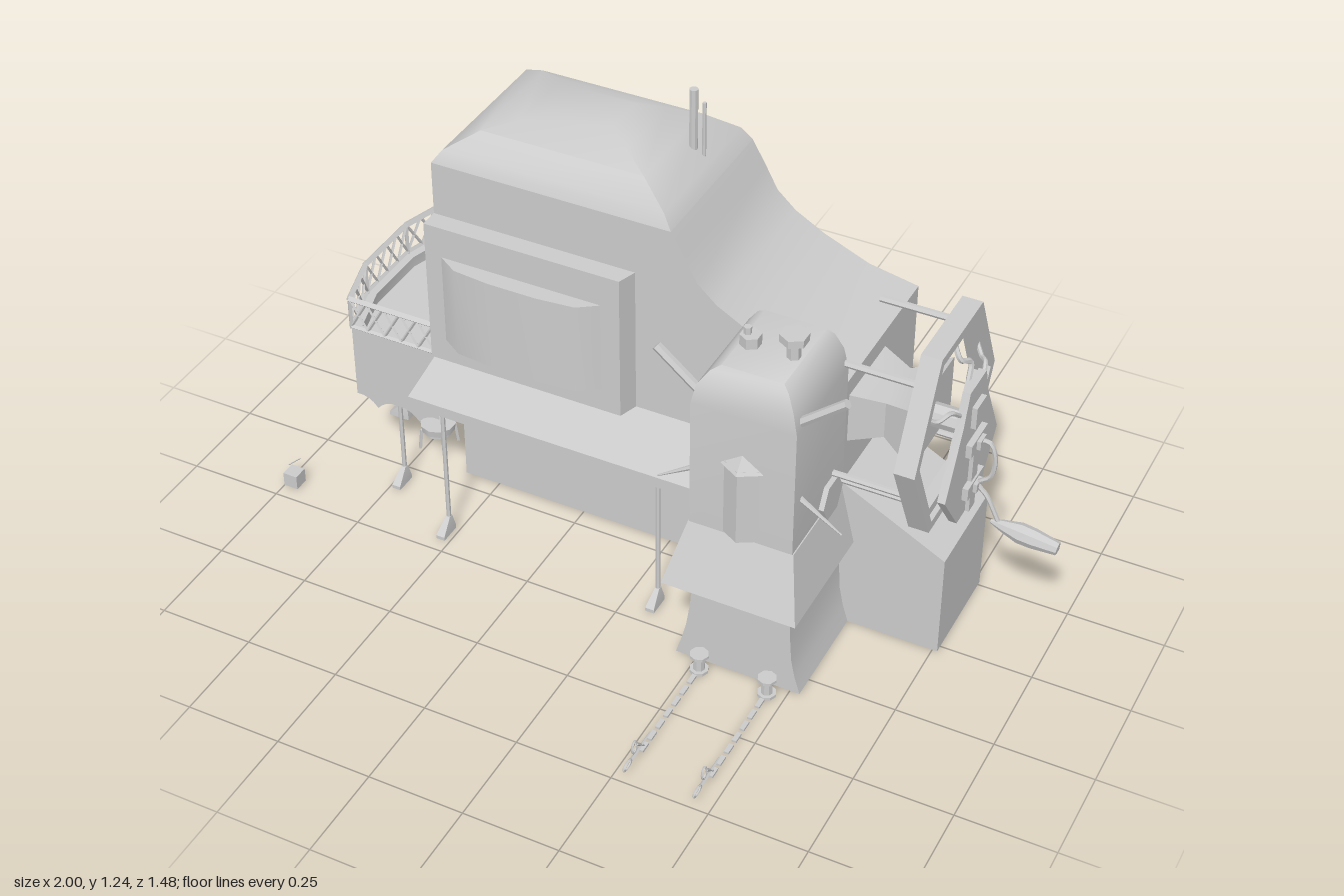
import * as THREE from 'three';
import { toCreasedNormals } from 'three/addons/utils/BufferGeometryUtils.js';

const mat = new THREE.MeshStandardMaterial({ color: 0xcccccc, side: THREE.DoubleSide });
const V = (x, y, z) => new THREE.Vector3(x, y, z);

export function createModel() {
  const root = new THREE.Group();
  let into = root;
  const part = (name) => { into = new THREE.Group(); into.name = name; root.add(into); };
  const add = (name, geo, x = 0, y = 0, z = 0) => {
    const m = new THREE.Mesh(toCreasedNormals(geo, 0.7), mat);
    m.name = name; m.position.set(x, y, z); into.add(m);
    return m;
  };
  // box from its limits
  const box = (name, x0, x1, y0, y1, z0, z1) =>
    add(name, new THREE.BoxGeometry(x1 - x0, y1 - y0, z1 - z0), (x0 + x1) / 2, (y0 + y1) / 2, (z0 + z1) / 2);
  // straight bar between two points
  const bar = (name, a, b, r, sides = 6, r2 = r) => {
    const d = b.clone().sub(a);
    const m = add(name, new THREE.CylinderGeometry(r2, r, d.length(), sides));
    m.position.copy(a).addScaledVector(d, 0.5);
    m.quaternion.setFromUnitVectors(V(0, 1, 0), d.normalize());
  };
  const tube = (name, pts, r, n = 16) =>
    add(name, new THREE.TubeGeometry(new THREE.CatmullRomCurve3(pts), n, r, 6));
  // skin over rings of equal point count, capped as asked
  const loft = (name, rings, bottom = true, top = true) => {
    const n = rings[0].length, idx = [], last = (rings.length - 1) * n;
    for (let k = 0; k < rings.length - 1; k++) for (let i = 0; i < n; i++) {
      const a = k * n + i, b = k * n + (i + 1) % n;
      idx.push(a, b, b + n, a, b + n, a + n);
    }
    for (let i = 1; i < n - 1; i++) {
      if (bottom) idx.push(0, i + 1, i);
      if (top) idx.push(last, last + i, last + i + 1);
    }
    const g = new THREE.BufferGeometry().setFromPoints(rings.flat());
    g.setIndex(idx);
    return add(name, g);
  };
  const rect = (y, x0, x1, z0, z1) => [V(x0, y, z1), V(x1, y, z1), V(x1, y, z0), V(x0, y, z0)];
  const shape = (pts) => new THREE.Shape(pts.map((p) => new THREE.Vector2(...p)));
  const extrude = (s, depth) => new THREE.ExtrudeGeometry(s, { depth, bevelEnabled: false, curveSegments: 8 });

  // Lower walls, open underneath, set back below the house
  part('base');
  const plan = [[-0.6, -0.05], [0.49, -0.05], [0.49, -0.41], [0.22, -0.41], [0.22, -0.74], [-0.6, -0.74]];
  loft('lowerWalls', [0, 0.462].map((y) => plan.map(([x, z]) => V(x, y, z))), false);
  const slope = rect(0, 0.49, 0.763, -0.26, 0.02);
  loft('sideExtension', [slope, slope.map((p) => V(p.x, p.x > 0.6 ? 0.29 : 0.435, p.z))], false);

  // Upper house with swept side and rounded hip roof
  part('house');
  add('upperBody', extrude(shape([[-0.6, 0.42], [0.49, 0.42], [0.49, 0.73], [0.36, 0.755], [0.24, 0.805],
    [0.16, 0.85], [0.11, 0.895], [0.075, 0.96], [0.04, 1.02], [-0.6, 1.02]]), 0.44), 0, 0, -0.41);
  loft('roof', [rect(1.02, -0.6, 0.04, -0.41, 0.03), rect(1.055, -0.575, 0.015, -0.395, 0.015),
    rect(1.1, -0.5, -0.065, -0.345, -0.04), rect(1.125, -0.42, -0.135, -0.295, -0.09),
    rect(1.14, -0.36, -0.2, -0.255, -0.14)], false);
  bar('chimney', V(-0.032, 1.07, -0.232), V(-0.032, 1.24, -0.232), 0.011, 8);
  bar('thinChimney', V(-0.004, 1.06, -0.232), V(-0.004, 1.21, -0.232), 0.005, 6);

  // Bay window with bowed pane
  part('bayWindow');
  const bay = (y) => [V(-0.6, y, 0.08), V(-0.07, y, 0.08), V(-0.05, y, 0.02), V(-0.6, y, 0.02)];
  loft('bayFrame', [bay(0.475), bay(0.875)]);
  add('bowedPane', extrude(shape([[-0.555, -0.08], [-0.5, -0.115], [-0.4, -0.125], [-0.27, -0.125],
    [-0.17, -0.115], [-0.12, -0.08]]), 0.25), 0, 0.54, 0).rotation.x = -Math.PI / 2;

  // Sloped ledge on two posts
  part('ledge');
  loft('ledgeSlab', [rect(0.4, -0.6, 0.22, -0.05, 0.2),
    [V(-0.6, 0.43, 0.2), V(0.22, 0.43, 0.2), V(0.22, 0.478, 0.02), V(-0.6, 0.478, 0.02)]]);
  // post with a foot flaring outward
  const foot = (name, x, z, top, dx, dz) => {
    const r = 0.006;
    bar(name, V(x, 0.02, z), V(x, top, z), r);
    const e = (d) => Math.max(0, d) * 0.035;
    loft(name + 'Foot', [rect(0, x - 0.012 - e(-dx), x + 0.012 + e(dx), z - 0.012 - e(-dz), z + 0.012 + e(dz)),
      rect(0.01, x - 0.012 - e(-dx), x + 0.012 + e(dx), z - 0.012 - e(-dz), z + 0.012 + e(dz)),
      rect(0.045, x - r, x + r, z - r, z + r)]);
  };
  for (const x of [-0.525, 0.075]) foot('ledgePost', x, 0.165, 0.41, 0, 1);

  // Tower with flared skirt and curved foot
  part('tower');
  loft('towerFoot', [[0, 0.195, 0.525], [0.05, 0.21, 0.51], [0.1, 0.222, 0.5], [0.17, 0.232, 0.495], [0.29, 0.24, 0.49]]
    .map(([y, a, b]) => rect(y, a, b, 0.02, 0.305)), false);
  box('towerBack', 0.23, 0.49, 0, 0.46, -0.05, 0.03);
  loft('skirt', [rect(0.27, 0.185, 0.533, 0.03, 0.368), rect(0.43, 0.225, 0.495, 0.03, 0.305)]);
  loft('towerBody', [rect(0.43, 0.228, 0.492, 0.02, 0.305), rect(0.78, 0.228, 0.492, 0.02, 0.305),
    rect(0.835, 0.24, 0.48, 0.025, 0.3), rect(0.87, 0.265, 0.458, 0.03, 0.28), rect(0.882, 0.285, 0.44, 0.035, 0.265)]);
  add('oriel', new THREE.CylinderGeometry(0.053, 0.053, 0.21, 6), 0.36, 0.54, 0.278);
  add('orielRoof', new THREE.ConeGeometry(0.062, 0.075, 6), 0.36, 0.675, 0.275);
  add('lowVent', new THREE.CylinderGeometry(0.026, 0.026, 0.03, 6), 0.31, 0.895, 0.165);
  add('lowVentKnob', new THREE.CylinderGeometry(0.01, 0.01, 0.02, 6), 0.302, 0.918, 0.165);
  add('tallVent', new THREE.CylinderGeometry(0.017, 0.017, 0.06, 6), 0.417, 0.905, 0.165);
  add('tallVentCap', new THREE.CylinderGeometry(0.035, 0.035, 0.02, 6), 0.417, 0.937, 0.165);
  add('sideBoss', new THREE.CylinderGeometry(0.055, 0.055, 0.06, 6), 0.475, 0.455, 0.105).rotation.z = Math.PI / 2;
  for (const s of [-1, 1]) {
    const x = (d) => 0.36 + s * d;
    bar('upperArm', V(x(0.12), 0.79, 0.27), V(x(0.235), 0.885, 0.27), 0.012);
    bar('lowerArm', V(x(0.12), 0.575, 0.265), V(x(0.235), 0.5, 0.265), 0.008, 6, 0.002);
  }

  // Balcony with lattice rail and scalloped valance
  part('balcony');
  const edge = [[-0.6, 0.065], [-0.845, 0.065], [-0.888, -0.08], [-0.888, -0.28], [-0.845, -0.425], [-0.6, -0.425]];
  const deck = (y, k = 1) => edge.map(([x, z]) => V(-0.6 + (x + 0.6) * k, y, -0.18 + (z + 0.18) * k)).reverse();
  loft('balconyBox', [deck(0.28), deck(0.47), deck(0.47, 0.92), deck(0.44, 0.92)]);
  for (let e = 0; e < edge.length - 1; e++) {
    const [a, b] = [edge[e], edge[e + 1]];
    const len = Math.hypot(b[0] - a[0], b[1] - a[1]);
    const at = (t, y) => V(a[0] + (b[0] - a[0]) * t, y, a[1] + (b[1] - a[1]) * t);
    bar('topRail', at(0, 0.56), at(1, 0.56), 0.009, 4);
    bar('bottomRail', at(0, 0.475), at(1, 0.475), 0.006, 4);
    bar('railPost', at(1, 0.47), at(1, 0.565), 0.006, 4);
    const n = Math.round(len / 0.05);
    for (let i = 0; i < n; i++) {
      bar('lattice', at(i / n, 0.475), at((i + 1) / n, 0.56), 0.004, 4);
      bar('lattice', at(i / n, 0.56), at((i + 1) / n, 0.475), 0.004, 4);
    }
    const s = new THREE.Shape(), k = Math.max(1, Math.round(len / 0.12));
    s.moveTo(0, 0.285); s.lineTo(0, 0.26);
    for (let i = 0; i < k; i++) {
      s.quadraticCurveTo((i + 0.3) * len / k, 0.265, (i + 0.5) * len / k, 0.232);
      s.quadraticCurveTo((i + 0.7) * len / k, 0.265, (i + 1) * len / k, 0.26);
    }
    s.lineTo(len, 0.285);
    add('valance', new THREE.ShapeGeometry(s, 4), a[0], 0, a[1]).rotation.y = Math.atan2(a[1] - b[1], b[0] - a[0]);
  }
  foot('frontLeg', -0.73, 0.045, 0.28, 0, 1);
  foot('backLeg', -0.73, -0.405, 0.28, 0, -1);
  foot('sideLeg', -0.862, -0.18, 0.28, -1, 0);

  // Stool below the balcony
  part('stool');
  add('stoolSeat', new THREE.CylinderGeometry(0.048, 0.045, 0.02, 10), -0.725, 0.066, -0.12);
  add('stoolRing', new THREE.CylinderGeometry(0.038, 0.038, 0.012, 10), -0.725, 0.05, -0.12);
  for (let i = 0; i < 4; i++) {
    const a = Math.PI / 4 + i * Math.PI / 2, c = Math.cos(a), s = Math.sin(a);
    bar('stoolLeg', V(-0.725 + c * 0.052, 0, -0.12 + s * 0.052), V(-0.725 + c * 0.045, 0.06, -0.12 + s * 0.045), 0.005, 4);
  }

  // Six-sided wheel frame on struts
  part('wheel');
  const cy = 0.62, cz = -0.105;
  const hex = (w, h) => [[w, 0], [w / 2, h], [-w / 2, h], [-w, 0], [-w / 2, -h], [w / 2, -h]];
  const ring = (name, w, h, t, x0, depth) => {
    const s = shape(hex(w, h));
    s.holes.push(shape(hex(w - t * 1.1, h - t)));
    add(name, extrude(s, depth), x0, cy, cz).rotation.y = Math.PI / 2;
  };
  ring('outerRim', 0.25, 0.256, 0.024, 0.665, 0.052);
  ring('innerRim', 0.225, 0.233, 0.026, 0.672, 0.032);
  const cross = (x, h, w) => [V(x, 0.615 - h, cz - w), V(x, 0.615 + h, cz - w), V(x, 0.615 + h, cz + w), V(x, 0.615 - h, cz + w)];
  loft('hubFunnel', [cross(0.48, 0.07, 0.11), cross(0.57, 0.05, 0.075), cross(0.66, 0.085, 0.12)]);
  bar('axle', V(0.6, 0.615, cz), V(0.76, 0.615, cz), 0.03, 8);
  for (const z of [0.03, -0.24]) for (const y of [0.795, 0.452])
    bar('strut', V(0.46, y, z), V(0.68, y, z), 0.009);
  bar('sideRod', V(0.48, 0.51, 0.082), V(0.69, 0.51, 0.082), 0.008);

  // Gear plate in front of the wheel
  part('gearPlate');
  add('plate', extrude(shape([[-0.05, 0.745], [0.05, 0.745], [0.08, 0.66], [0.165, 0.5], [0.07, 0.37],
    [-0.07, 0.37], [-0.165, 0.5], [-0.08, 0.66]]), 0.02), 0.745, 0, cz).rotation.y = Math.PI / 2;
  box('squareBoss', 0.76, 0.778, 0.63, 0.69, cz - 0.03, cz + 0.03);
  for (const y of [0.575, 0.445]) {
    box('crossBar', 0.76, 0.78, y - 0.018, y + 0.018, cz - 0.05, cz + 0.05);
    box('crossBlock', 0.76, 0.79, y - 0.012, y + 0.012, cz - 0.018, cz + 0.018);
  }
  box('uprightBar', 0.76, 0.775, 0.37, 0.58, cz - 0.018, cz + 0.018);
  tube('topHook', [V(0.74, 0.74, cz), V(0.735, 0.78, cz - 0.02), V(0.72, 0.8, cz + 0.01), V(0.7, 0.83, cz)], 0.007);
  for (const s of [-1, 1])
    tube('sideHook', [V(0.75, 0.69, cz + s * 0.07), V(0.74, 0.72, cz + s * 0.11), V(0.72, 0.71, cz + s * 0.14),
      V(0.69, 0.74, cz + s * 0.17)], 0.006);

  // Crank with blunt spindle grip
  part('crank');
  tube('crankArm', [V(0.77, 0.575, cz), V(0.805, 0.58, cz), V(0.822, 0.54, cz), V(0.815, 0.48, cz), V(0.785, 0.45, cz),
    V(0.81, 0.42, cz), V(0.845, 0.35, cz)], 0.006, 24);
  const grip = [[0.005, 0], [0.015, 0.03], [0.026, 0.075], [0.025, 0.11], [0.017, 0.172], [0.001, 0.175]];
  add('grip', new THREE.LatheGeometry(grip.map((p) => new THREE.Vector2(...p)), 8), 0.826, 0.348, cz).rotation.z = -1.69;

  // Two spools, each with a broken thread line and a pair of shears
  for (const x of [0.275, 0.455]) {
    part('spoolAndShears');
    add('spoolCore', new THREE.CylinderGeometry(0.015, 0.015, 0.055, 8), x, 0.0275, 0.34);
    for (const y of [0.004, 0.051]) add('spoolFlange', new THREE.CylinderGeometry(0.024, 0.024, 0.008, 8), x, y, 0.34);
    for (let i = 0; i < 7; i++) box('threadDash', x - 0.006, x + 0.006, 0.001, 0.007, 0.365 + i * 0.042, 0.395 + i * 0.042);
    for (const [y, z, ty, tz, long, tall] of [[0.02, 0.715, 0.024, 0.6, 1.2, 0.6], [0.047, 0.68, 0.008, 0.63, 0.7, 1.1]]) {
      const loop = add('shearsLoop', new THREE.TorusGeometry(0.016, 0.003, 5, 10), x, y, z);
      loop.rotation.y = Math.PI / 2;
      loop.scale.set(long, tall, 1);
      bar('shearsBlade', V(x, y, z - 0.016 * long), V(x, ty, tz), 0.005, 4, 0.002);
    }
  }

  // Small block with a wire beside the house
  part('looseBlock');
  box('block', -1, -0.96, 0, 0.04, 0.17, 0.21);
  bar('wire', V(-0.995, 0.055, 0.19), V(-0.955, 0.092, 0.19), 0.0015, 4);
  return root;
}
